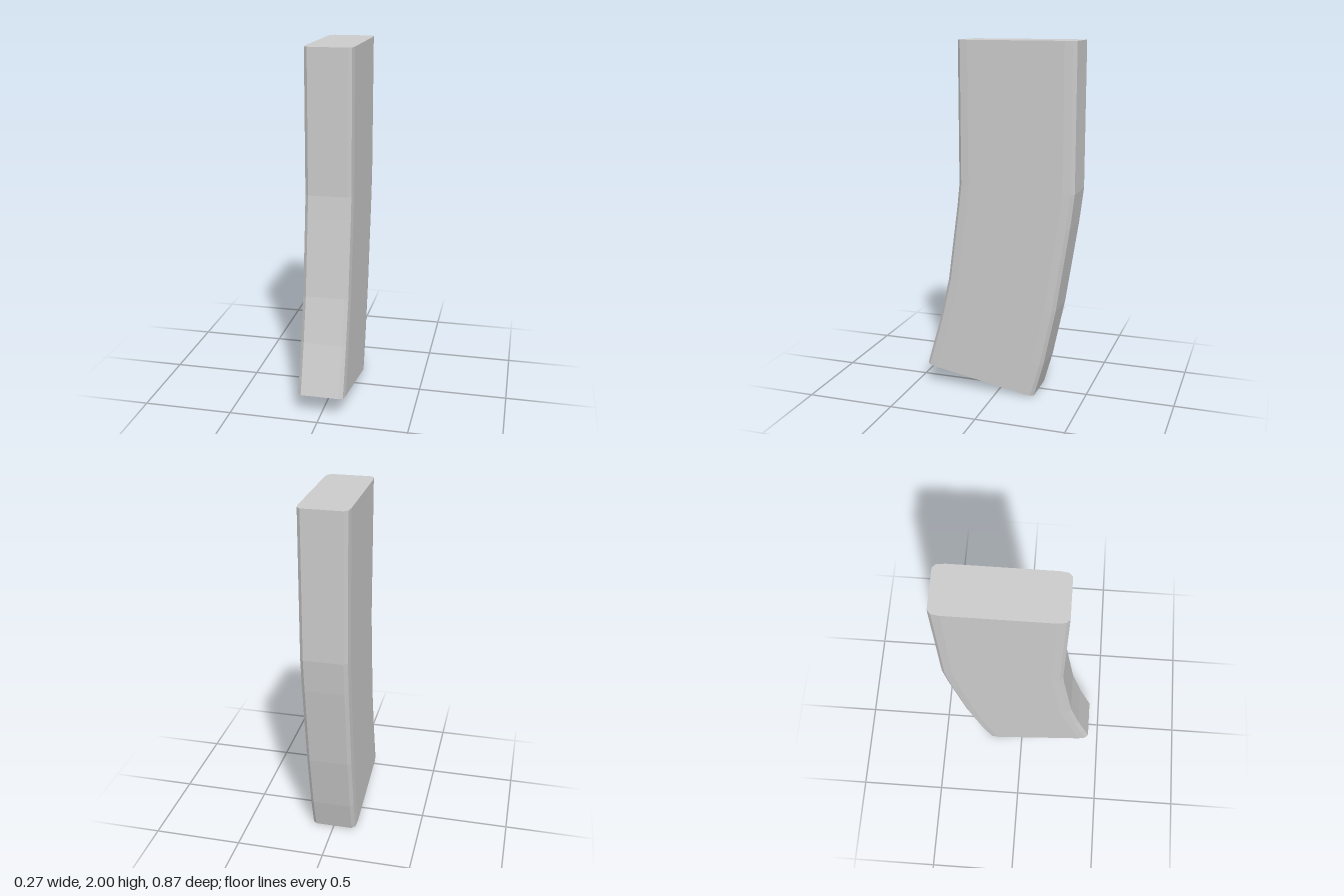
import * as THREE from 'three';

// Stations down the body: [front z, front y, back z, back y]
const STATIONS = [
  [0.225, 2, -0.436, 2],
  [0.225, 1.21, -0.436, 1.19],
  [0.238, 1.09, -0.413, 1.0],
  [0.296, 0.653, -0.339, 0.52],
  [0.354, 0.4, -0.27, 0.19],
  [0.434, 0.12, -0.217, 0],
];

// Bevelled corner: [half width, distance in from the end]
const CORNER = [[0.108, 0], [0.127, 0.018], [0.133, 0.062]];

// One closed ring, counter-clockwise seen from above
function ring([fz, fy, bz, by]) {
  const front = new THREE.Vector3(0, fy, fz);
  const back = new THREE.Vector3(0, by, bz);
  const length = front.distanceTo(back);
  const at = (x, d) => front.clone().lerp(back, d / length).setX(x);
  const side = [
    ...CORNER.map(([x, d]) => at(x, d)),
    ...CORNER.map(([x, d]) => at(x, length - d)).reverse(),
  ];
  const mirrored = side.map((p) => new THREE.Vector3(-p.x, p.y, p.z)).reverse();
  return [...side, ...mirrored];
}

function loftGeometry(rings) {
  const n = rings[0].length;
  const positions = rings.flat().flatMap((p) => p.toArray());
  const index = [];
  // Walls between neighbouring rings
  for (let r = 0; r < rings.length - 1; r++) {
    for (let i = 0; i < n; i++) {
      const a = r * n + i, b = r * n + ((i + 1) % n);
      index.push(a + n, b + n, b, a + n, b, a);
    }
  }
  // Top and bottom caps
  const last = (rings.length - 1) * n;
  for (let i = 1; i < n - 1; i++) {
    index.push(0, i, i + 1);
    index.push(last, last + i + 1, last + i);
  }
  const geometry = new THREE.BufferGeometry();
  geometry.setAttribute('position', new THREE.Float32BufferAttribute(positions, 3));
  geometry.setIndex(index);
  const flat = geometry.toNonIndexed();
  flat.computeVertexNormals();
  return flat;
}

export function createModel() {
  const group = new THREE.Group();
  group.name = 'curvedMagazine';
  const material = new THREE.MeshStandardMaterial({ color: 0xcccccc, flatShading: true });
  const body = new THREE.Mesh(loftGeometry(STATIONS.map(ring)), material);
  body.name = 'magazineBody';
  group.add(body);
  return group;
}
